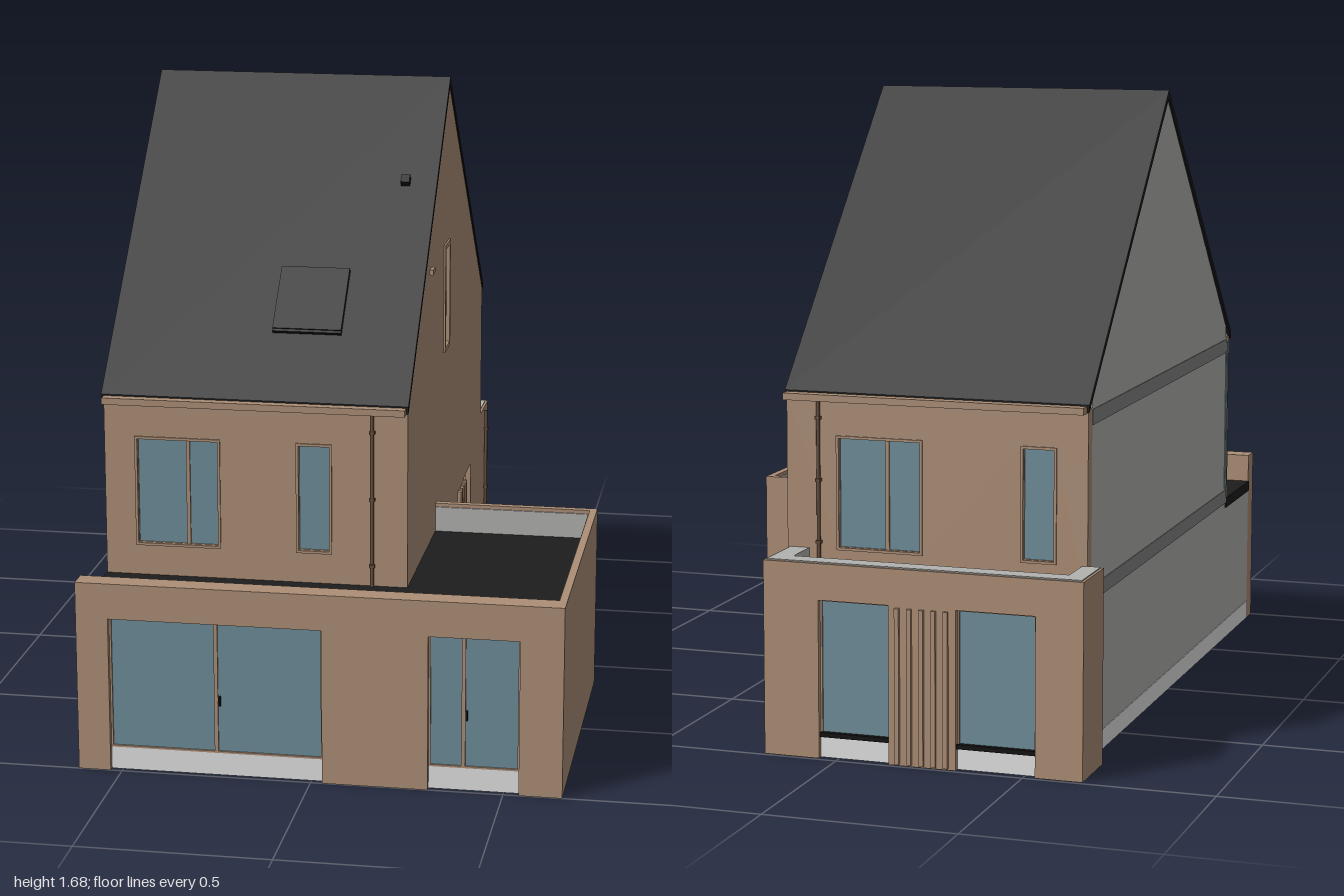
import * as THREE from 'three';

const mat = (name, color) => {
  const m = new THREE.MeshStandardMaterial({ color });
  m.name = name;
  return m;
};

export function createModel() {
  const brick = mat('brick', 0xad8f77);
  const roofing = mat('roofing', 0x1d1d1d);
  const glass = mat('glass', 0x6f8e9a);
  const plinthMat = mat('plinth', 0xe4e4e4);
  const concrete = mat('concrete', 0xb2b2b0);
  const slabEdge = mat('slabEdge', 0x858585);
  const pipeMat = mat('pipe', 0x66503f);
  const black = mat('black', 0x111111);

  const house = new THREE.Group();
  house.name = 'house';

  // Box given by its limits on each axis
  const box = (parent, name, m, x0, x1, y0, y1, z0, z1) => {
    const mesh = new THREE.Mesh(new THREE.BoxGeometry(x1 - x0, y1 - y0, z1 - z0), m);
    mesh.position.set((x0 + x1) / 2, (y0 + y1) / 2, (z0 + z1) / 2);
    mesh.name = name;
    parent.add(mesh);
  };

  // Facade: local x runs right and local z outward, seen from outside
  const facade = (name, angle, x, z) => {
    const g = new THREE.Group();
    g.name = name;
    g.rotation.y = angle;
    g.position.set(x, 0, z);
    house.add(g);
    return g;
  };

  // Wall plate with its outer face on local z = 0; holes are [x0, x1, y0, y1]
  const wall = (f, name, m, points, t, holes = []) => {
    const shape = new THREE.Shape(points.map(p => new THREE.Vector2(...p)));
    for (const [a, b, c, d] of holes) {
      shape.holes.push(new THREE.Path([[a, c], [a, d], [b, d], [b, c]].map(p => new THREE.Vector2(...p))));
    }
    const geo = new THREE.ExtrudeGeometry(shape, { depth: t, bevelEnabled: false });
    geo.translate(0, 0, -t);
    const mesh = new THREE.Mesh(geo, m);
    mesh.name = name;
    f.add(mesh);
  };

  // Bottom edge with openings that reach the ground
  const bottom = (x0, x1, openings, h = 0.415) => [
    [x0, 0], ...openings.flatMap(([a, b]) => [[a, 0], [a, h], [b, h], [b, 0]]), [x1, 0]];

  const rect = (x0, x1, y0, y1) => [[x0, y0], [x1, y0], [x1, y1], [x0, y1]];

  // Frame of four bars
  const frame = (f, m, x0, x1, y0, y1, z0, z1, w) => {
    box(f, 'frame', m, x0, x0 + w, y0, y1, z0, z1);
    box(f, 'frame', m, x1 - w, x1, y0, y1, z0, z1);
    box(f, 'frame', m, x0 + w, x1 - w, y0, y0 + w, z0, z1);
    box(f, 'frame', m, x0 + w, x1 - w, y1 - w, y1, z0, z1);
  };

  // Window: one framed pane per interval between the splits
  const glazing = (f, splits, y0, y1, z, w = 0.005) => {
    box(f, 'glass', glass, splits[0], splits.at(-1), y0, y1, z - 0.008, z);
    for (let i = 0; i + 1 < splits.length; i++) {
      frame(f, brick, splits[i], splits[i + 1], y0, y1, z - 0.008, z + 0.005, w);
    }
  };

  // Full-height window standing on a plinth
  const tallWindow = (f, splits, recess, sill) => {
    glazing(f, splits, 0.06, 0.415, -recess);
    box(f, 'plinth', plinthMat, splits[0], splits.at(-1), 0, 0.06, -recess - 0.01, -recess + 0.005);
    if (sill) box(f, 'sill', black, splits[0], splits.at(-1), 0.055, 0.067, -recess, -recess + 0.014);
  };

  const slats = (f, x0, x1, n) => {
    for (let i = 0; i < n; i++) {
      const x = x0 + (x1 - x0) * i / (n - 1);
      box(f, 'slat', brick, x - 0.006, x + 0.006, 0.005, 0.41, -0.005, 0.01);
    }
  };

  const pipe = (x, z, y0, y1) => {
    const mesh = new THREE.Mesh(new THREE.CylinderGeometry(0.005, 0.005, y1 - y0, 10), pipeMat);
    mesh.position.set(x, (y0 + y1) / 2, z);
    mesh.name = 'downpipe';
    house.add(mesh);
    for (const k of [0.12, 0.5, 0.88]) {
      const y = y0 + (y1 - y0) * k;
      box(house, 'pipeBracket', pipeMat, x - 0.007, x + 0.007, y - 0.004, y + 0.004, z - 0.007, z + 0.007);
    }
  };

  // Ground floor front
  const front = facade('frontExtension', 0, 0, 1);
  wall(front, 'frontWall', brick,
    [...bottom(-0.615, 0.652, [[-0.53, 0.03], [0.305, 0.54]]), [0.652, 0.51], [-0.615, 0.51]], 0.06);
  tallWindow(front, [-0.53, -0.25, 0.03], 0.02);
  tallWindow(front, [0.305, 0.395, 0.54], 0.02);
  for (const x of [-0.243, 0.401]) box(front, 'doorHandle', black, x, x + 0.005, 0.19, 0.215, -0.02, -0.01);

  // Upper storey wall with a wide window a, a narrow window b and a gutter
  const upper = (f, x0, x1, t, a, b) => {
    wall(f, 'upperWall', brick, rect(x0, x1, 0.4, 0.915), t,
      [a, b].map(s => [s[0], s.at(-1), 0.515, 0.81]));
    for (const s of [a, b]) {
      glazing(f, s, 0.515, 0.81, -0.01);
      frame(f, brick, s[0] - 0.003, s.at(-1) + 0.003, 0.512, 0.813, -0.015, 0.004, 0.007);
    }
    box(f, 'gutter', brick, x0 + 0.003, x1 - 0.003, 0.905, 0.923, -0.01, 0.036);
  };
  const upperFront = facade('upperFront', 0, 0, 0.665);
  upper(upperFront, -0.615, 0.2, 0.04, [-0.53, -0.39, -0.305], [-0.095, -0.005]);
  const upperBack = facade('upperBack', Math.PI, 0, -0.82);
  upper(upperBack, -0.2, 0.615, 0.035, [-0.06, 0.075, 0.17], [0.44, 0.53]);

  // Gable side with front door
  const side = facade('gableSide', Math.PI / 2, 0.2, 0);
  wall(side, 'gableWall', brick, [[-0.665, 0.4], [-0.13, 0.4],
    ...bottom(-0.13, 0.99, [[-0.075, 0.08], [0.44, 0.59]]),
    [0.99, 0.51], [0.82, 0.51], [0.82, 0.912], [0.075, 1.66], [-0.665, 0.912]], 0.035,
  [[0, 0.075, 0.922, 1.205]]);
  glazing(side, [0, 0.075], 0.922, 1.205, -0.01);
  frame(side, brick, -0.013, 0.087, 0.91, 1.217, -0.015, 0.005, 0.013);
  tallWindow(side, [0.44, 0.59], 0.02, true);
  slats(side, 0.31, 0.43, 5);
  box(side, 'frontDoor', brick, -0.075, 0.08, 0.06, 0.415, -0.03, -0.015);
  box(side, 'doorPlinth', plinthMat, -0.075, 0.08, 0, 0.055, -0.03, -0.01);
  box(side, 'doorSill', black, -0.075, 0.08, 0.055, 0.066, -0.03, -0.005);
  box(side, 'doorGlass', glass, 0.02, 0.05, 0.115, 0.385, -0.02, -0.012);
  frame(side, black, 0.017, 0.053, 0.112, 0.388, -0.02, -0.009, 0.004);
  box(side, 'doorGroove', pipeMat, -0.04, -0.035, 0.1, 0.4, -0.02, -0.012);
  box(side, 'doorHandle', plinthMat, -0.06, 0, 0.178, 0.186, -0.015, 0.004);
  box(side, 'doorbell', glass, 0.095, 0.112, 0.305, 0.335, -0.002, 0.008);
  box(side, 'houseLamp', plinthMat, 0.09, 0.118, 0.278, 0.29, -0.002, 0.006);
  box(side, 'wallVent', brick, -0.287, -0.245, 1.193, 1.207, -0.002, 0.01);

  // Side extension
  const extSide = facade('extensionSide', Math.PI / 2, 0.652, 0);
  wall(extSide, 'extensionSideWall', brick, rect(-1, -0.13, 0, 0.51), 0.02);
  const extBack = facade('extensionBack', Math.PI, 0, 0.13);
  wall(extBack, 'extensionBackWall', brick,
    [...bottom(-0.652, -0.2, [[-0.55, -0.37]]), [-0.2, 0.51], [-0.652, 0.51]], 0.02);
  box(extBack, 'backDoor', brick, -0.55, -0.37, 0.06, 0.415, -0.02, -0.01);
  frame(extBack, brick, -0.55, -0.37, 0.06, 0.415, -0.012, -0.004, 0.01);
  box(extBack, 'backDoorPlinth', plinthMat, -0.55, -0.37, 0, 0.06, -0.02, -0.008);
  box(extBack, 'backDoorHandle', plinthMat, -0.4, -0.385, 0.21, 0.217, -0.012, -0.002);
  box(house, 'parapetLining', concrete, 0.2, 0.632, 0.42, 0.5, 0.148, 0.154);
  box(house, 'parapetLining', concrete, 0.628, 0.634, 0.42, 0.5, 0.154, 0.94);
  box(house, 'flatRoofFront', roofing, -0.617, 0.634, 0.4, 0.43, 0.645, 0.942);
  box(house, 'flatRoofSide', roofing, 0.199, 0.634, 0.4, 0.43, 0.145, 0.645);

  // Rear bay
  const bay = facade('rearBay', Math.PI, 0, -0.99);
  wall(bay, 'bayWall', brick,
    [...bottom(-0.2, 0.655, [[-0.05, 0.14], [0.32, 0.53]]), [0.655, 0.51], [-0.2, 0.51]], 0.035);
  tallWindow(bay, [-0.05, 0.14], 0.02, true);
  tallWindow(bay, [0.32, 0.53], 0.02, true);
  slats(bay, 0.165, 0.295, 5);
  box(house, 'bayReturn', brick, -0.655, -0.612, 0, 0.51, -0.985, -0.81);
  box(house, 'bayInsulation', glass, -0.637, -0.622, 0.01, 0.48, -0.812, -0.805);
  box(house, 'bayCoping', concrete, -0.648, 0.193, 0.44, 0.513, -0.982, -0.93);
  box(house, 'bayCoping', concrete, -0.648, -0.6, 0.44, 0.513, -0.93, -0.815);
  box(house, 'bayCoping', concrete, 0.14, 0.193, 0.44, 0.513, -0.93, -0.82);
  box(house, 'bayRoof', roofing, -0.605, 0.145, 0.43, 0.48, -0.935, -0.815);

  // Party wall with floor edges
  const party = facade('partyWall', -Math.PI / 2, -0.615, 0);
  wall(party, 'partyWallPlate', concrete, [[-0.82, 0], [0.94, 0], [0.94, 0.4], [0.625, 0.4],
    [0.625, 0.95], [-0.075, 1.655], [-0.785, 0.94], [-0.785, 0.42], [-0.82, 0.42]], 0.035);
  box(party, 'baseStrip', plinthMat, -0.81, 0.94, 0.002, 0.055, -0.002, 0.002);
  box(party, 'floorEdge', slabEdge, -0.81, 0.645, 0.415, 0.455, -0.002, 0.002);
  box(party, 'floorEdge', slabEdge, -0.785, 0.625, 0.87, 0.91, -0.002, 0.002);
  box(party, 'insulation', glass, 0.627, 0.647, 0.46, 0.9, -0.002, 0.002);

  // Ground slab with the footings seen on its underside
  box(house, 'groundSlab', plinthMat, -0.58, 0.165, 0.003, 0.03, -0.955, 0.94);
  box(house, 'groundSlabSide', plinthMat, 0.165, 0.632, 0.003, 0.03, 0.15, 0.94);
  box(house, 'slabInsulation', glass, 0.172, 0.188, 0.001, 0.01, 0.13, 0.66);
  for (const z of [-0.22, 0.38]) box(house, 'footing', slabEdge, -0.22, 0.16, 0.001, 0.01, z - 0.01, z + 0.01);

  // Pitched roof
  const roof = facade('pitchedRoof', Math.PI / 2, 0.203, 0);
  wall(roof, 'roofShell', roofing, [[-0.675, 0.907], [-0.675, 0.927], [0.075, 1.678],
    [0.825, 0.927], [0.825, 0.907], [0.075, 1.656]], 0.822);
  const slope = new THREE.Group();
  slope.name = 'roofFittings';
  slope.position.set(0, 1.678, -0.075);
  slope.rotation.x = Math.PI / 4;
  house.add(slope);
  box(slope, 'skylight', roofing, -0.185, 0, -0.005, 0.014, 0.65, 0.845);
  box(slope, 'skylightSill', black, -0.185, 0, -0.005, 0.01, 0.845, 0.852);
  box(slope, 'roofVent', black, 0.106, 0.13, -0.01, 0.02, 0.345, 0.37);

  // Downpipes
  pipe(0.107, 0.673, 0.43, 0.91);
  pipe(0.11, -0.828, 0.48, 0.91);
  pipe(0.206, -0.905, 0.005, 0.5);

  return house;
}
